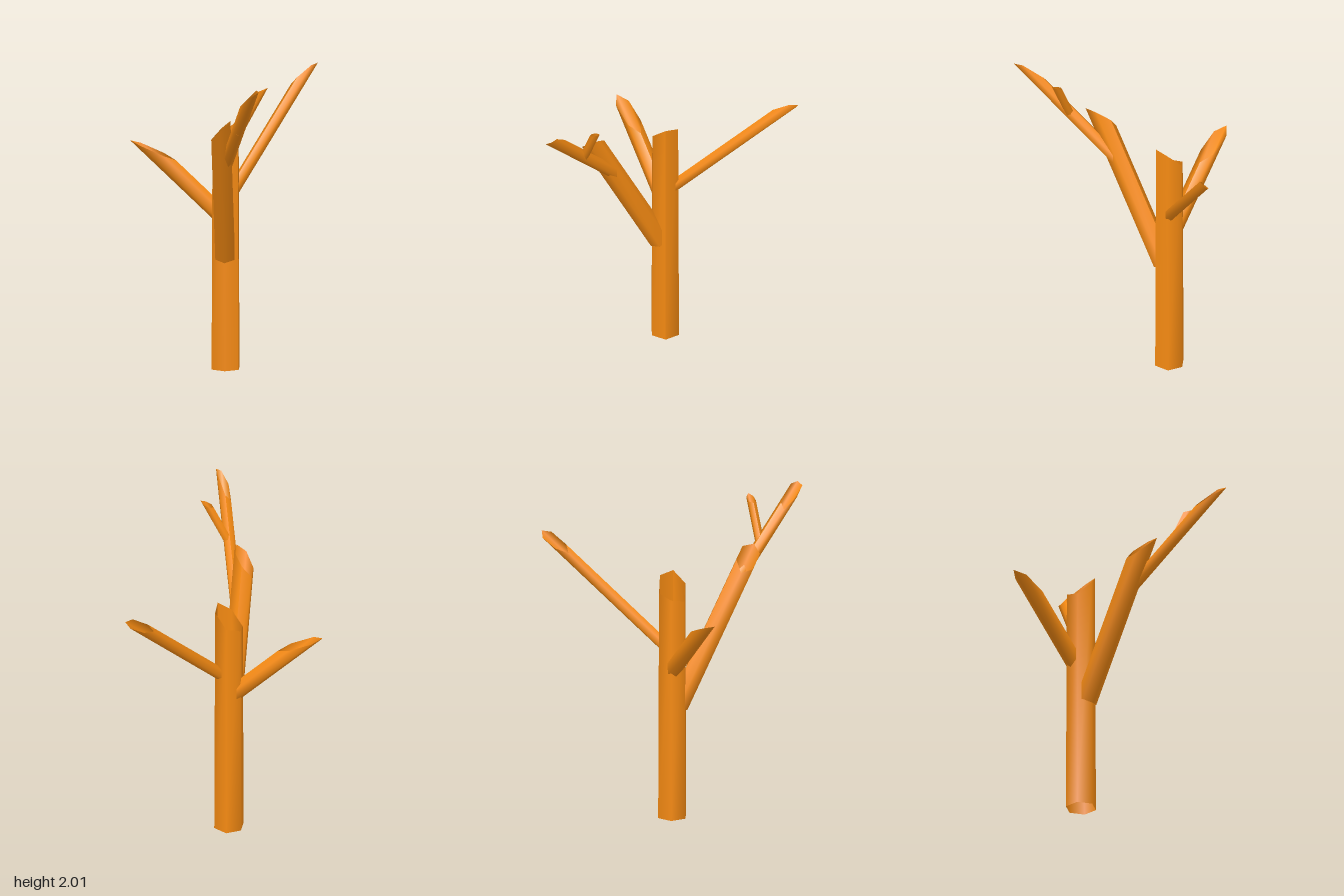
import * as THREE from 'three';

const bark = new THREE.MeshStandardMaterial({ color: 0xf58a12, side: THREE.DoubleSide });

// Open six-sided limb. It passes through `at`, heads along the horizontal
// direction `head` and climbs by `rise` (radians). `ends` holds the length of
// each of the six edges, starting at the upper one, so the tip is cut ragged.
function limb(name, { at, head, rise, radius, tipRadius = radius, start = 0, ends }) {
  const origin = new THREE.Vector3(...at);
  const h = new THREE.Vector3(head[0], 0, head[1]).normalize();
  const up = new THREE.Vector3(0, 1, 0);
  const dir = h.clone().multiplyScalar(Math.cos(rise)).addScaledVector(up, Math.sin(rise));
  const top = h.clone().multiplyScalar(-Math.sin(rise)).addScaledVector(up, Math.cos(rise));
  const side = new THREE.Vector3(h.z, 0, -h.x);

  const positions = [];
  const index = [];
  const n = ends.length;
  const addPoint = (angle, r, t) => {
    const p = origin.clone()
      .addScaledVector(dir, t)
      .addScaledVector(top, r * Math.cos(angle))
      .addScaledVector(side, r * Math.sin(angle));
    positions.push(p.x, p.y, p.z);
  };
  for (let k = 0; k <= n; k++) {
    const angle = (k % n) / n * Math.PI * 2;
    addPoint(angle, radius, start);
    addPoint(angle, tipRadius, ends[k % n]);
    if (k < n) {
      const a = 2 * k;
      index.push(a, a + 1, a + 2, a + 1, a + 3, a + 2);
    }
  }
  const geometry = new THREE.BufferGeometry();
  geometry.setAttribute('position', new THREE.Float32BufferAttribute(positions, 3));
  geometry.setIndex(index);
  geometry.computeVertexNormals();
  const mesh = new THREE.Mesh(geometry, bark);
  mesh.name = name;
  return mesh;
}

export function createModel() {
  const tree = new THREE.Group();
  tree.name = 'bareTree';

  tree.add(
    // Upright trunk, hollow at both ends
    limb('trunk', {
      at: [0.027, 0, -0.187], head: [-0.866, -0.5], rise: Math.PI / 2,
      radius: 0.099, tipRadius: 0.093,
      ends: [1.62, 1.55, 1.46, 1.48, 1.51, 1.6],
    }),
    // Thick branch leaning forward
    limb('frontBranch', {
      at: [0.027, 0.84, -0.085], head: [0, 1], rise: 1.082,
      radius: 0.07, start: -0.12,
      ends: [0.88, 0.97, 1.01, 0.97, 0.87, 0.82],
    }),
    // Short branch to the right with a long slanted cut
    limb('rightBranch', {
      at: [-0.05, 1.035, -0.2], head: [-1, 0], rise: 0.764,
      radius: 0.055, start: -0.05,
      ends: [0.383, 0.463, 0.614, 0.68, 0.614, 0.463],
    }),
    // Long thin branch to the back left
    limb('backBranch', {
      at: [0.085, 1.16, -0.238], head: [0.6, -0.8], rise: 0.744,
      radius: 0.039, start: -0.06,
      ends: [0.865, 0.818, 0.9, 1.0, 1.035, 0.985],
    }),
    // Thin branch growing out of the front branch
    limb('forkBranch', {
      at: [0.085, 1.5, 0.31], head: [0.315, 0.949], rise: 0.76,
      radius: 0.04, start: -0.16,
      ends: [0.56, 0.71, 0.755, 0.745, 0.65, 0.53],
    }),
    // Small twig on the fork branch
    limb('twig', {
      at: [0.14, 1.66, 0.495], head: [1, 0.03], rise: 1.081,
      radius: 0.028,
      ends: [0.285, 0.3, 0.335, 0.36, 0.335, 0.3],
    }),
  );
  return tree;
}
